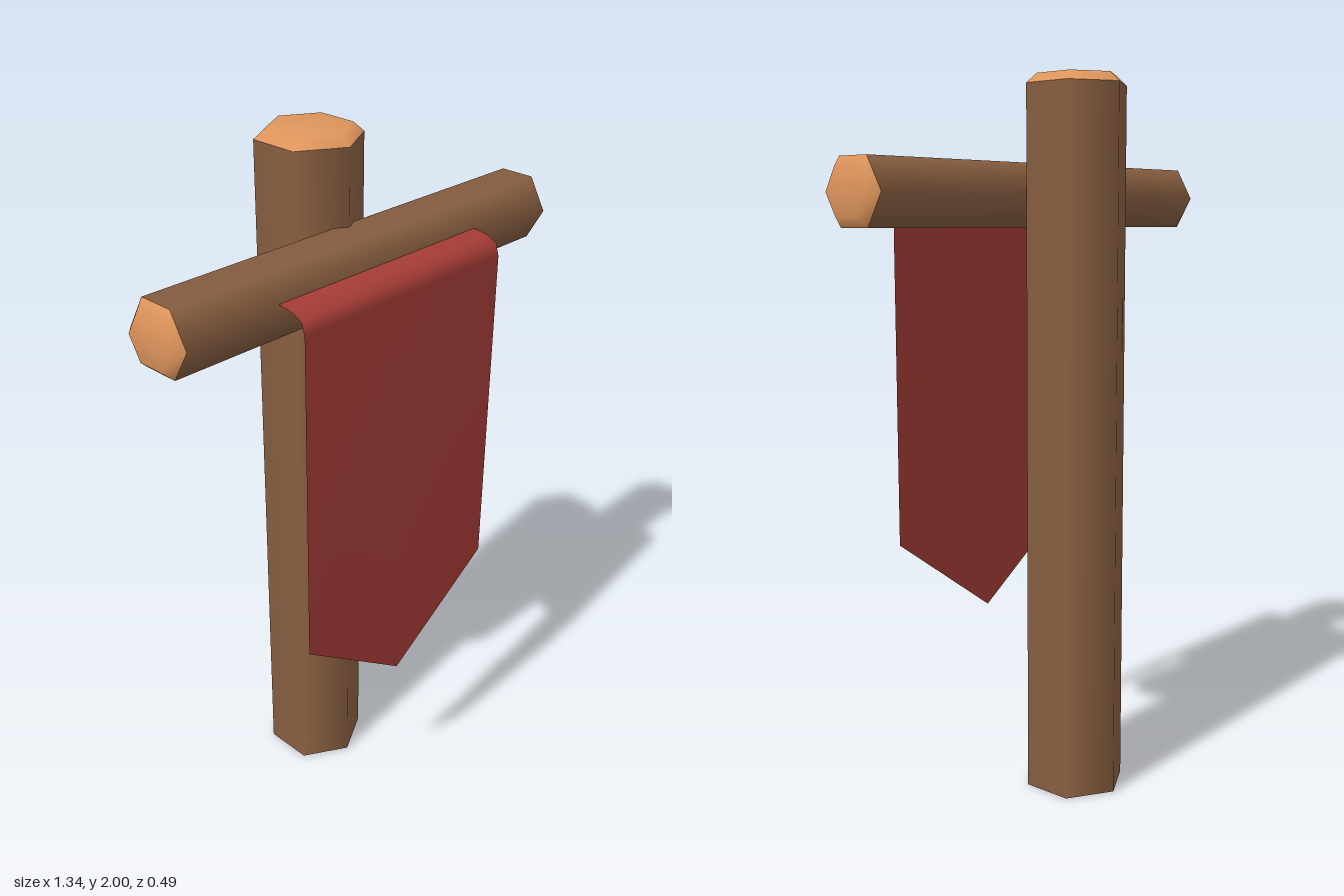
import * as THREE from 'three';

const bark = new THREE.MeshStandardMaterial({ color: 0x8a6042 });
const cutWood = new THREE.MeshStandardMaterial({ color: 0xe0965c });
const cloth = new THREE.MeshStandardMaterial({ color: 0xa53c36, side: THREE.DoubleSide });

function addMesh(parent, name, geometry, material) {
  const mesh = new THREE.Mesh(geometry, material);
  mesh.name = name;
  parent.add(mesh);
  return mesh;
}

// Chamfered, pale end of a six-sided log; its base sits at y = 0
function cutEnd(radius, bevel, depth) {
  return new THREE.LatheGeometry([
    new THREE.Vector2(radius, 0),
    new THREE.Vector2(radius - bevel, depth),
    new THREE.Vector2(0, depth),
  ], 6);
}

// Six-sided bark shell, open at both ends
function shell(radius, length) {
  return new THREE.CylinderGeometry(radius, radius, length, 6, 1, true);
}

function createPost() {
  const post = new THREE.Group();
  post.name = 'post';
  const radius = 0.144, height = 1.974;
  addMesh(post, 'postShaft', shell(radius, height), bark).position.y = height / 2;
  addMesh(post, 'postTop', cutEnd(radius, 0.03, 0.026), cutWood).position.y = height;
  addMesh(post, 'postBase', new THREE.CircleGeometry(radius, 6, Math.PI / 2), bark).rotation.x = Math.PI / 2;
  post.position.z = -0.103;
  return post;
}

function createCrossbar() {
  const bar = new THREE.Group();
  bar.name = 'crossbar';
  const radius = 0.101, half = 0.643;
  addMesh(bar, 'crossbarShaft', shell(radius, half * 2), bark);
  for (const side of [1, -1]) {
    const end = addMesh(bar, side > 0 ? 'rightEnd' : 'leftEnd', cutEnd(radius, 0.03, 0.029), cutWood);
    end.position.y = side * half;
    if (side < 0) end.rotation.z = Math.PI;
  }
  bar.children[1].name = 'crossbarRightEnd';
  bar.children[2].name = 'crossbarLeftEnd';
  bar.rotation.z = Math.PI / 2;
  bar.position.set(0, 1.682, 0.07);
  return bar;
}

// Thin cloth: leaves the bar, curves over and hangs down to a point
function createBanner() {
  const rows = [[1.704, 0.157], [1.698, 0.205], [1.682, 0.235], [1.65, 0.245], [0.71, 0.245]];
  const geometry = new THREE.PlaneGeometry(0.71, 1, 2, rows.length - 1);
  const p = geometry.attributes.position;
  for (let i = 0; i < p.count; i++) {
    const row = Math.floor(i / 3);
    const isTip = row === rows.length - 1 && i % 3 === 1;
    p.setY(i, isTip ? 0.46 : rows[row][0]);
    p.setZ(i, rows[row][1]);
  }
  geometry.computeVertexNormals();
  const banner = new THREE.Mesh(geometry, cloth);
  banner.name = 'banner';
  return banner;
}

export function createModel() {
  const model = new THREE.Group();
  model.name = 'bannerPost';
  model.add(createPost(), createCrossbar(), createBanner());
  return model;
}
